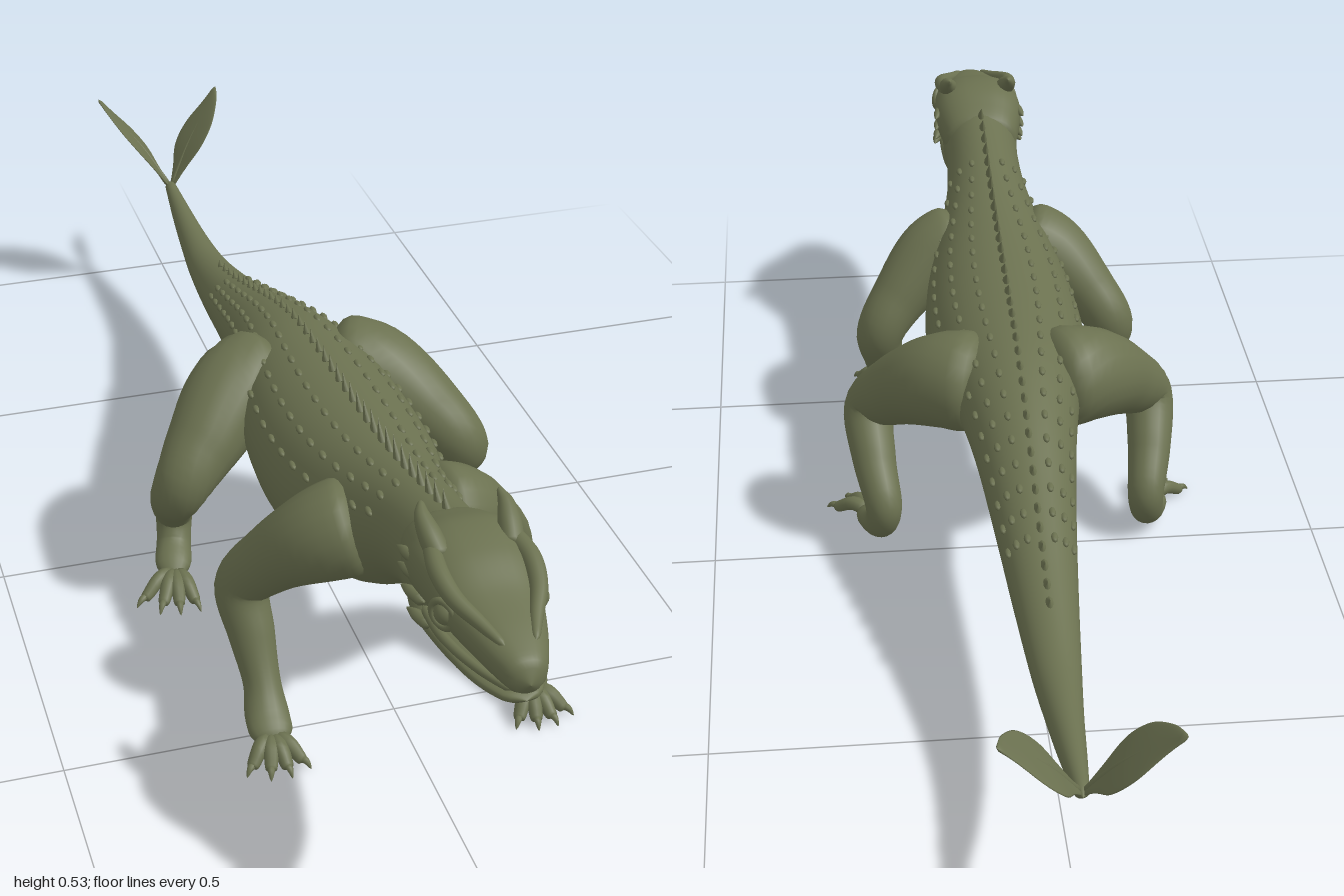
import * as THREE from 'three';

const skin = new THREE.MeshStandardMaterial({ color: 0x6b7150 });
skin.name = 'mossGreenSkin';

const V = (x, y, z) => new THREE.Vector3(x, y, z);
const spow = (v, e) => Math.sign(v) * Math.pow(Math.abs(v), e);

function part(parent, name, geometry) {
  const mesh = new THREE.Mesh(geometry, skin);
  mesh.name = name;
  parent.add(mesh);
  return mesh;
}

// Smooth closed skin over rings; f(s, angle) gives a surface point
function loft(rings, sides, f) {
  const pos = [], idx = [];
  for (let i = 0; i <= rings; i++)
    for (let j = 0; j < sides; j++) pos.push(...f(i / rings, (j / sides) * Math.PI * 2).toArray());
  for (let i = 0; i < rings; i++)
    for (let j = 0; j < sides; j++) {
      const k = (j + 1) % sides, a = i * sides + j, b = i * sides + k, c = a + sides, d = b + sides;
      idx.push(a, b, c, b, d, c);
    }
  const g = new THREE.BufferGeometry();
  g.setAttribute('position', new THREE.Float32BufferAttribute(pos, 3));
  g.setIndex(idx);
  g.computeVertexNormals();
  return g;
}

// Rounds both ends of a loft down to a point
function cap(s, e) {
  const d = Math.min(1, Math.min(s, 1 - s) / e);
  return Math.sqrt(Math.max(0, 1 - (1 - d) ** 2));
}

// Rows of [z, top, bottom, halfWidth], smoothly interpolated along z
function sample(keys, z) {
  let i = 0;
  while (i < keys.length - 2 && z > keys[i + 1][0]) i++;
  const a = keys[i], b = keys[i + 1], p = keys[Math.max(i - 1, 0)], n = keys[Math.min(i + 2, keys.length - 1)];
  const h = b[0] - a[0], t = (z - a[0]) / h;
  return [1, 2, 3].map((c) => {
    const ma = (b[c] - p[c]) / (b[0] - p[0]) * h, mb = (n[c] - a[c]) / (n[0] - a[0]) * h;
    return (2 * t ** 3 - 3 * t * t + 1) * a[c] + (t ** 3 - 2 * t * t + t) * ma
      + (3 * t * t - 2 * t ** 3) * b[c] + (t ** 3 - t * t) * mb;
  });
}

function onSection(keys, z, a, e = 1, k = 1) {
  const [top, bottom, w] = sample(keys, z);
  return V(w * k * spow(Math.cos(a), e), (top + bottom) / 2 + (top - bottom) / 2 * k * spow(Math.sin(a), e), z);
}

function trunk(keys, rings, e, capLength) {
  const z0 = keys[0][0], z1 = keys[keys.length - 1][0];
  return loft(rings, 32, (s, a) => onSection(keys, z0 + (z1 - z0) * s, a, e, cap(s, capLength)));
}

// Tapered tube through rows of [x, y, z, radius, secondRadius]; ref steers the first radius
function limb(rows, ref = V(1, 0, 0), rings = 28, sides = 16, end = 0.08) {
  const path = new THREE.CatmullRomCurve3(rows.map((r) => V(r[0], r[1], r[2])));
  const radii = new THREE.CatmullRomCurve3(rows.map((r) => V(r[3], r[4] ?? r[3], 0)), false, 'catmullrom');
  return loft(rings, sides, (s, a) => {
    const w = path.getTangent(s), c = path.getPoint(s), r = radii.getPoint(s), k = cap(s, end);
    const u = ref.clone().addScaledVector(w, -ref.dot(w)).normalize();
    const v = w.clone().cross(u);
    return c.addScaledVector(u, r.x * k * Math.cos(a)).addScaledVector(v, r.y * k * Math.sin(a));
  });
}

const mirror = (rows, m) => rows.map(([x, ...rest]) => [x * m, ...rest]);

const BODY = [
  [-0.91, 0.24, 0.222, 0.009], [-0.8, 0.23, 0.187, 0.019], [-0.7, 0.224, 0.167, 0.027],
  [-0.6, 0.228, 0.16, 0.036], [-0.45, 0.262, 0.168, 0.049], [-0.3, 0.31, 0.187, 0.063],
  [-0.15, 0.362, 0.208, 0.08], [-0.03, 0.393, 0.212, 0.1], [0.08, 0.405, 0.185, 0.122],
  [0.2, 0.412, 0.163, 0.132], [0.32, 0.42, 0.165, 0.126], [0.42, 0.43, 0.19, 0.108],
  [0.5, 0.443, 0.235, 0.088], [0.58, 0.46, 0.295, 0.071], [0.66, 0.478, 0.332, 0.065],
  [0.74, 0.497, 0.345, 0.068], [0.82, 0.495, 0.375, 0.06],
];
const SKULL = [
  [0.67, 0.475, 0.39, 0.058], [0.71, 0.496, 0.39, 0.07], [0.76, 0.514, 0.398, 0.079], [0.82, 0.508, 0.407, 0.075],
  [0.88, 0.485, 0.409, 0.063], [0.94, 0.47, 0.408, 0.046], [0.98, 0.457, 0.406, 0.03], [1.0, 0.447, 0.404, 0.018],
];
const JAW = [
  [0.69, 0.41, 0.338, 0.055], [0.74, 0.41, 0.35, 0.066], [0.8, 0.404, 0.368, 0.069],
  [0.88, 0.402, 0.375, 0.059], [0.94, 0.402, 0.38, 0.044], [0.99, 0.402, 0.387, 0.02],
];
const FRONT_LEG = [
  [0.04, 0.34, 0.48, 0.075], [0.1, 0.318, 0.465, 0.07], [0.165, 0.262, 0.425, 0.051], [0.204, 0.205, 0.4, 0.042],
  [0.2, 0.14, 0.43, 0.035], [0.196, 0.08, 0.47, 0.028], [0.198, 0.045, 0.505, 0.033, 0.026], [0.2, 0.028, 0.555, 0.032, 0.015],
];
const HIND_LEG = [
  [0.04, 0.32, 0.0, 0.085], [0.115, 0.31, 0.035, 0.078], [0.185, 0.262, 0.095, 0.06], [0.232, 0.21, 0.13, 0.044],
  [0.23, 0.145, 0.07, 0.036], [0.218, 0.085, 0.015, 0.03], [0.224, 0.045, 0.035, 0.028, 0.028], [0.243, 0.027, 0.105, 0.032, 0.016],
];

function addLeg(model, name, rows, m, foot, heading, spread, length) {
  const g = new THREE.Group();
  g.name = name;
  part(g, 'limb', limb(mirror(rows, m), V(1, 0, 0), 48, 20));
  // Splayed toes, each ending in a claw
  for (const d of spread) {
    const at = (k, y, r) => [m * (foot[0] + Math.sin(heading + d) * length * k), y, foot[1] + Math.cos(heading + d) * length * k, r];
    part(g, 'toe', limb([at(0.1, 0.028, 0.013), at(0.45, 0.032, 0.012), at(0.75, 0.018, 0.01), at(0.88, 0.012, 0.008)], V(0, 1, 0), 12, 10, 0.15));
    part(g, 'claw', limb([at(0.8, 0.017, 0.006), at(0.94, 0.016, 0.005), at(1.08, 0.006, 0.001)], V(0, 1, 0), 8, 8));
  }
  model.add(g);
}

export function createModel() {
  const model = new THREE.Group();
  model.name = 'lizard';

  part(model, 'bodyAndTail', trunk(BODY, 110, 1, 0.006));

  const head = new THREE.Group();
  head.name = 'head';
  model.add(head);
  part(head, 'skull', trunk(SKULL, 48, 0.85, 0.05));
  part(head, 'lowerJaw', trunk(JAW, 40, 0.8, 0.06));

  // Crest along the spine, leaning back and shrinking toward the tail
  const crest = new THREE.Group();
  crest.name = 'spineCrest';
  model.add(crest);
  const spike = new THREE.ConeGeometry(0.013, 1, 8);
  for (let z = 0.68; z > -0.52; z -= 0.034) {
    const h = 0.016 + 0.026 * Math.max(0, 1 - Math.abs(z - 0.47) / 0.55);
    const s = part(crest, 'crestSpike', spike);
    s.scale.set(0.5, h, 1);
    s.position.set(0, sample(BODY, z)[0] + h * 0.32, z);
    s.rotation.x = -0.6;
  }

  // Rows of small raised scales on the back
  const scales = new THREE.Group();
  scales.name = 'backScales';
  model.add(scales);
  const bump = new THREE.SphereGeometry(0.007, 8, 6);
  for (const a of [0.5, 0.85, 1.2])
    for (const m of [1, -1])
      for (let z = 0.56; z > -0.4; z -= 0.045) {
        const s = part(scales, 'scale', bump);
        s.position.copy(onSection(BODY, z, a));
        s.position.x *= m;
        s.scale.set(0.8, 0.7, 1.7);
      }

  for (const m of [1, -1]) {
    const side = m > 0 ? 'left' : 'right';
    addLeg(model, side + 'FrontLeg', FRONT_LEG, m, [0.2, 0.535], 0.05, [-0.65, -0.2, 0.22, 0.7], 0.07);
    addLeg(model, side + 'HindLeg', HIND_LEG, m, [0.235, 0.09], 0.35, [-0.55, -0.2, 0.15, 0.6], 0.088);

    // Eye with a raised lid ring
    const eye = new THREE.Group();
    eye.name = side + 'Eye';
    eye.position.set(m * 0.06, 0.45, 0.86);
    eye.rotation.y = m * 1.05;
    part(eye, 'eyeball', new THREE.SphereGeometry(0.017, 20, 14));
    part(eye, 'eyelid', new THREE.TorusGeometry(0.019, 0.005, 10, 24)).position.z = 0.007;
    head.add(eye);

    part(head, side + 'Brow', limb(mirror([[0.052, 0.498, 0.77, 0.012], [0.062, 0.492, 0.83, 0.013], [0.056, 0.48, 0.875, 0.012],
      [0.036, 0.468, 0.92, 0.009], [0.02, 0.46, 0.96, 0.005]], m)));
    part(head, side + 'Horn', limb(mirror([[0.048, 0.488, 0.805, 0.016], [0.054, 0.508, 0.775, 0.016],
      [0.057, 0.524, 0.75, 0.011], [0.053, 0.536, 0.732, 0.003]], m), V(1, 0, 0), 20, 12));
    part(head, side + 'Lip', limb(mirror([[0.066, 0.413, 0.79, 0.007], [0.063, 0.411, 0.86, 0.007],
      [0.044, 0.411, 0.93, 0.006], [0.018, 0.411, 0.985, 0.005]], m), V(0, 1, 0), 20, 10));
    const nostril = part(head, side + 'Nostril', new THREE.SphereGeometry(0.006, 10, 8));
    nostril.position.set(m * 0.017, 0.449, 0.972);

    // Pointed cheek scales
    for (const [y, z] of [[0.4, 0.79], [0.42, 0.765], [0.445, 0.75], [0.468, 0.745]]) {
      part(head, side + 'CheekScale', limb(mirror([[0.066, y, z + 0.03, 0.008], [0.075, y, z, 0.008], [0.081, y - 0.002, z - 0.022, 0.001]], m), V(0, 1, 0), 10, 8));
    }

    // Leaf-shaped tail fin and its raised midrib
    const leaf = [[0.002, 0.228, -0.895, 0.006], [0.02, 0.258, -0.908, 0.022], [0.043, 0.295, -0.926, 0.046],
      [0.07, 0.33, -0.945, 0.046], [0.096, 0.361, -0.966, 0.026], [0.117, 0.386, -0.99, 0.002]];
    const across = V(-0.3 * m, -0.2, -1);
    part(model, side + 'TailLeaf', limb(mirror(leaf.map((r) => [...r, 0.003]), m), across, 32, 20, 0.03));
    part(model, side + 'LeafRib', limb(mirror(leaf.map((r, i) => [r[0], r[1], r[2], 0.006 - i * 0.0009]), m), across, 20, 8));
  }
  return model;
}
